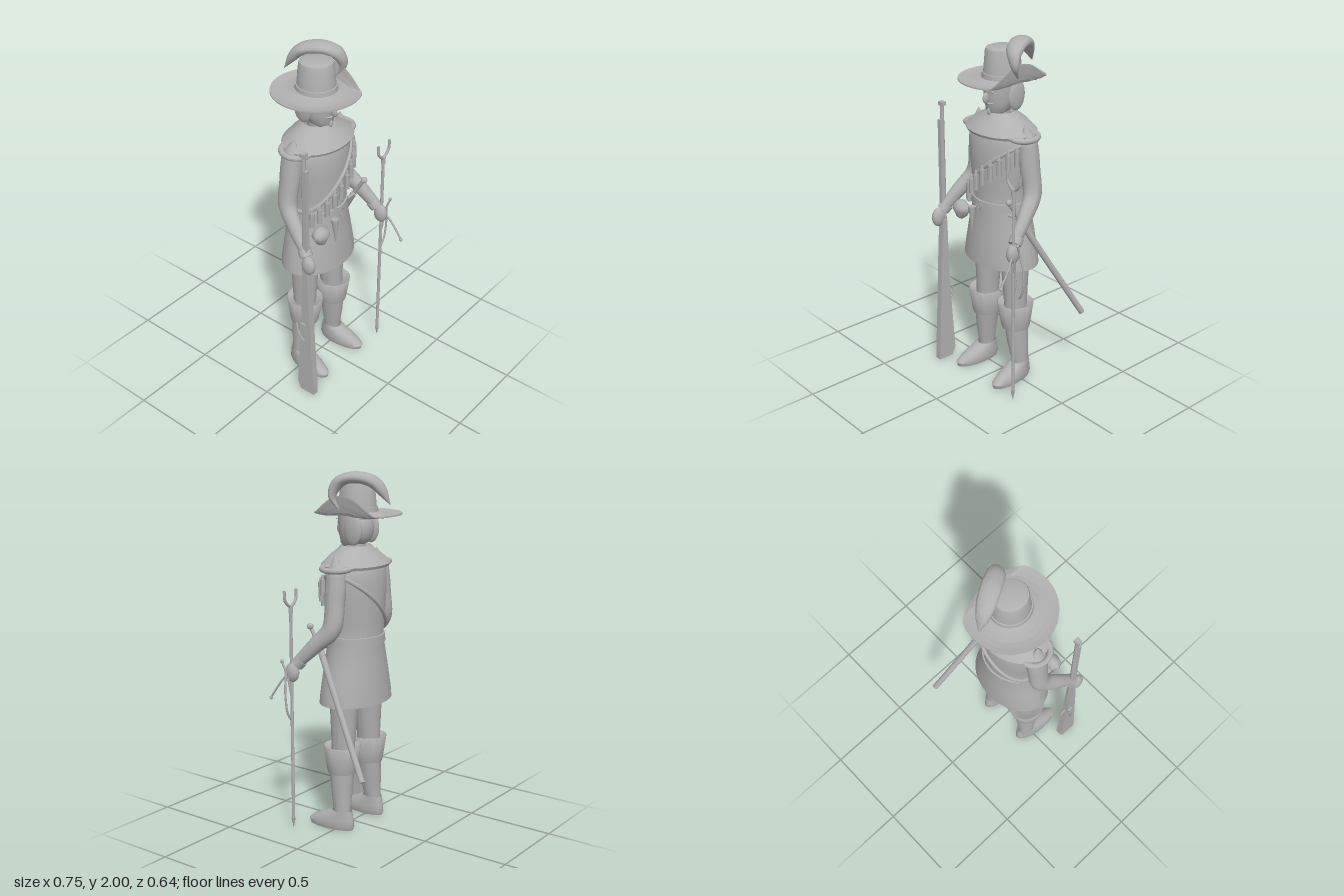
import * as THREE from 'three';
import { toCreasedNormals } from 'three/addons/utils/BufferGeometryUtils.js';

const grey = new THREE.MeshStandardMaterial({ color: 0xb0b0b0, side: THREE.DoubleSide });
grey.name = 'grey';
const CX = -0.023; // body centre line
const V = (p) => new THREE.Vector3(...p);

// Stacked elliptical rings, bottom to top: [y, rx, rz, offsetX, offsetZ]
function rings(rows, sides = 28) {
  const g = new THREE.LatheGeometry(rows.map((r) => new THREE.Vector2(r[1], r[0])), sides);
  const p = g.attributes.position;
  for (let i = 0; i < p.count; i++) {
    const [, rx, rz, ox = 0, oz = 0] = rows[i % rows.length];
    p.setX(i, p.getX(i) + ox);
    p.setZ(i, (rx ? p.getZ(i) * rz / rx : 0) + oz);
  }
  return toCreasedNormals(g, 0.8);
}

// Tube along points whose radius follows a list; squash scales the section per axis
function taper(points, radii, sides = 14, squash = [1, 1, 1], steps = 28) {
  const curve = new THREE.CatmullRomCurve3(points.map(V));
  const g = new THREE.TubeGeometry(curve, steps, 1, sides);
  const p = g.attributes.position, v = new THREE.Vector3(), s = V(squash);
  for (let i = 0; i < p.count; i++) {
    const u = Math.floor(i / (sides + 1)) / steps;
    const f = u * (radii.length - 1), k = Math.min(Math.floor(f), radii.length - 2);
    const r = THREE.MathUtils.lerp(radii[k], radii[k + 1], f - k), c = curve.getPointAt(u);
    v.fromBufferAttribute(p, i).sub(c).multiply(s).multiplyScalar(r).add(c);
    p.setXYZ(i, v.x, v.y, v.z);
  }
  g.computeVertexNormals();
  return g;
}

// Straight rod between two points
function rod(a, b, ra, rb = ra, sides = 12) {
  const A = V(a), B = V(b), d = B.clone().sub(A);
  const g = new THREE.CylinderGeometry(rb, ra, d.length(), sides);
  g.applyQuaternion(new THREE.Quaternion().setFromUnitVectors(new THREE.Vector3(0, 1, 0), d.normalize()));
  return g.translate(...A.add(B).multiplyScalar(0.5).toArray());
}
const cord = (pts, r, closed = false, n = 40) =>
  new THREE.TubeGeometry(new THREE.CatmullRomCurve3(pts.map(V), closed), n, r, 8, closed);
const ball = (c, rx, ry = rx, rz = rx) => new THREE.SphereGeometry(1, 18, 12).scale(rx, ry, rz).translate(...c);
const box = (c, w, h, d) => new THREE.BoxGeometry(w, h, d).translate(...c);

export function createModel() {
  const root = new THREE.Group();
  const add = (name, geo, parent = root) => {
    const m = new THREE.Mesh(geo, grey);
    m.name = name;
    parent.add(m);
    return m;
  };
  const group = (name, parent = root, x = 0) => {
    const g = new THREE.Group();
    g.name = name;
    g.position.x = x;
    parent.add(g);
    return g;
  };

  // Coat with flared skirt, belt and collar
  const body = group('body', root, CX);
  const torso = [[1.09, 0.168, 0.143], [1.2, 0.178, 0.147], [1.32, 0.195, 0.15], [1.42, 0.207, 0.145], [1.49, 0.205, 0.13]];
  const at = (row) => [...row, 0, -0.008];
  add('coat', rings([[0.75, 0, 0], [0.73, 0.235, 0.165], [0.73, 0.246, 0.174], [0.78, 0.24, 0.171], [0.92, 0.21, 0.16],
    ...torso, [1.54, 0.14, 0.1], [1.57, 0.07, 0.07]].map(at), 36), body);
  add('belt', rings([[1.06, 0.168, 0.145], [1.062, 0.18, 0.154], [1.108, 0.178, 0.152], [1.11, 0.165, 0.14]].map(at), 36), body);
  add('collar', rings([[1.51, 0.14, 0.11], [1.485, 0.215, 0.165], [1.5, 0.222, 0.172], [1.545, 0.165, 0.135],
    [1.58, 0.11, 0.095], [1.6, 0.085, 0.08], [1.57, 0.06, 0.06]].map(at), 32), body);
  const buckle = add('buckle', new THREE.TorusGeometry(0.025, 0.005, 4, 4), body);
  buckle.position.set(0, 1.085, 0.152);

  // Head and face
  const head = group('head', body);
  add('neck', new THREE.CylinderGeometry(0.055, 0.06, 0.12, 20).translate(0, 1.58, 0), head);
  add('face', rings([[1.585, 0, 0, 0, 0.02], [1.59, 0.045, 0.045, 0, 0.025], [1.61, 0.066, 0.07, 0, 0.01], [1.66, 0.08, 0.088],
    [1.72, 0.086, 0.094], [1.79, 0.086, 0.094]]), head);
  add('nose', ball([0, 1.682, 0.099], 0.013, 0.03, 0.021), head);
  add('beard', ball([0, 1.605, 0.075], 0.012, 0.024, 0.014), head);
  for (const s of [-1, 1]) {
    add('hair', ball([s * 0.08, 1.69, -0.045], 0.02, 0.085, 0.058), head);
    add('eye', ball([s * 0.035, 1.72, 0.084], 0.012, 0.006, 0.007), head);
    add('brow', box([s * 0.035, 1.738, 0.085], 0.032, 0.006, 0.008), head);
    add('moustache', taper([[0, 1.655, 0.09], [s * 0.02, 1.652, 0.088], [s * 0.042, 1.66, 0.075]], [0.006, 0.006, 0], 6), head);
  }
  add('backHair', ball([0, 1.69, -0.05], 0.08, 0.085, 0.055), head);

  // Hat: brim turned up on the left side
  const hat = group('hat', body);
  const brim = rings([[1.775, 0.08], [1.768, 0.12], [1.762, 0.15], [1.76, 0.18], [1.762, 0.21], [1.768, 0.24],
    [1.775, 0.24], [1.77, 0.21], [1.768, 0.18], [1.771, 0.15], [1.778, 0.12], [1.79, 0.1]].map(([y, r]) => [y, r, r]), 56);
  const bp = brim.attributes.position;
  for (let i = 0; i < bp.count; i++) {
    const e = Math.max(0, bp.getX(i) - 0.12);
    if (e) bp.setXYZ(i, 0.12 + 0.25 * e, bp.getY(i) + 7 * e * e, bp.getZ(i));
  }
  brim.computeVertexNormals();
  add('brim', brim.translate(0, 0, -0.02), hat);
  const round = ([y, r]) => [y, r, r * 1.04, 0, -0.018];
  add('crown', rings([[1.77, 0.106], [1.82, 0.1], [1.925, 0.091], [1.938, 0.086], [1.944, 0.07], [1.944, 0]].map(round)), hat);
  add('hatBand', rings([[1.78, 0.1], [1.782, 0.11], [1.808, 0.107], [1.81, 0.098]].map(round)), hat);
  add('plume', taper([[0.14, 1.8, 0], [0.155, 1.87, 0.035], [0.125, 1.945, 0.01], [0.085, 1.97, -0.06], [0.035, 1.945, -0.15],
    [-0.005, 1.825, -0.235]], [0.004, 0.026, 0.05, 0.058, 0.055, 0.035, 0], 16, [1, 0.55, 0.8], 36), hat);

  // Legs, cuffed boots, arms and shoulder wings, mirrored by sign
  for (const s of [-1, 1]) {
    const side = s > 0 ? 'left' : 'right';
    const leg = group(side + 'Leg', body);
    const lean = ([y, rx, rz, ox, oz]) => [y, rx, rz, s * ox, oz];
    add('thigh', rings([[0.42, 0.058, 0.065, 0.122, -0.008], [0.56, 0.066, 0.072, 0.118, -0.01], [0.8, 0.082, 0.086, 0.11, -0.01]].map(lean)), leg);
    add('bootCuff', rings([[0.34, 0.05, 0.05, 0.127, -0.005], [0.33, 0.077, 0.08, 0.127, -0.005], [0.35, 0.082, 0.085, 0.127, -0.005],
      [0.482, 0.101, 0.107, 0.124, -0.005], [0.488, 0.097, 0.103, 0.124, -0.005], [0.465, 0.06, 0.065, 0.124, -0.005]].map(lean)), leg);
    add('bootShaft', rings([[0.06, 0.043, 0.05, 0.148, -0.025], [0.12, 0.045, 0.05, 0.146, -0.02], [0.24, 0.058, 0.064, 0.136, -0.012],
      [0.36, 0.064, 0.072, 0.127, -0.008]].map(lean)), leg);
    const shoe = add('shoe', rings([[0, 0, 0, 0, 0.05], [0, 0.05, 0.138, 0, 0.05], [0.025, 0.058, 0.147, 0, 0.05], [0.055, 0.054, 0.128, 0, 0.035],
      [0.085, 0.05, 0.09, 0, 0.003], [0.11, 0.045, 0.06, 0, -0.02]]), leg);
    shoe.position.x = s * 0.148;
    shoe.rotation.y = s * 0.08;

    const arm = group(side + 'Arm', body);
    const path = [[0.19, 1.565, -0.01], [0.196, 1.47, -0.02], [0.213, 1.32, -0.025], [0.238, 1.17, -0.02], [0.272, 1.08, 0.06], [0.305, 0.97, 0.165]];
    add('sleeve', taper(path.map(([x, y, z]) => [s * x, y, z]), [0, 0.058, 0.06, 0.057, 0.055, 0.047, 0.04, 0.032], 18, [0.85, 1, 1]), arm);
    add('cuff', rod([s * 0.296, 0.99, 0.14], [s * 0.306, 0.96, 0.165], 0.037, 0.036, 16), arm);
    add('hand', ball([s * 0.318, 0.918, 0.188], 0.03, 0.056, 0.042), arm);
    add('shoulderWing', new THREE.TorusGeometry(0.07, 0.016, 10, 28).rotateX(Math.PI / 2).scale(1, 1, 1.15)
      .rotateZ(-s * 0.1).translate(s * 0.178, 1.493, -0.01), arm);
  }

  // Bandolier: sloping strap around the coat with hanging charges
  const bandolier = group('bandolier', body);
  const strapPoint = (t, out) => {
    const y = 1.285 + 0.175 * Math.cos(t);
    let k = torso.findIndex((r) => r[0] >= y);
    k = Math.max(1, k);
    const [a, b] = [torso[k - 1], torso[k]], f = (y - a[0]) / (b[0] - a[0]);
    const rad = (i) => THREE.MathUtils.lerp(a[i], b[i], f) + out;
    return [rad(1) * Math.cos(t), y, rad(2) * Math.sin(t) - 0.008];
  };
  add('strap', cord(Array.from({ length: 32 }, (_, i) => strapPoint(i / 16 * Math.PI, 0.003)), 0.012, true, 80), bandolier);
  for (let i = 0; i < 10; i++) {
    const [x, y, z] = strapPoint(0.45 + i * 0.235, 0.022);
    add('charge', rod([x, y - 0.1, z], [x, y - 0.012, z], 0.015, 0.015, 6), bandolier);
    add('chargeCap', rod([x, y - 0.012, z], [x, y + 0.012, z], 0.011, 0.006, 6), bandolier);
  }
  add('pouch', rings([[0.945, 0, 0], [0.965, 0.03, 0.03], [1.01, 0.057, 0.045], [1.03, 0.054, 0.042], [1.055, 0.03, 0.025], [1.065, 0, 0]]
    .map((r) => [...r, -0.162, 0.145]), 8), bandolier);
  add('primingFlask', rod([-0.055, 0.92, 0.163], [-0.055, 1.06, 0.155], 0.003, 0.022, 8), bandolier);

  // Sword in its scabbard on the left hip
  const sword = group('sword');
  add('scabbard', rod([0.33, 0.4, -0.31], [0.205, 1.05, 0.065], 0.017, 0.018), sword);
  add('grip', rod([0.205, 1.05, 0.065], [0.202, 1.15, 0.125], 0.011), sword);
  add('pommel', ball([0.202, 1.165, 0.135], 0.018), sword);
  add('crossGuard', rod([0.13, 1.05, 0.07], [0.24, 1.05, 0.07], 0.008), sword);

  // Long gun held upright on the right
  const gun = group('longGun');
  const outline = [[0.225, 0], [0.13, 0], [0.108, 0.05], [0.137, 0.48], [0.145, 0.74], [0.148, 0.9], [0.178, 0.9], [0.19, 0.7], [0.203, 0.45], [0.225, 0.05]];
  add('stock', new THREE.ExtrudeGeometry(new THREE.Shape(outline.map((p) => new THREE.Vector2(...p))),
    { depth: 0.037, bevelEnabled: false }).rotateY(-Math.PI / 2).translate(-0.312, 0, 0), gun);
  add('forestock', box([-0.331, 1.19, 0.165], 0.024, 0.62, 0.022), gun);
  add('barrel', rod([-0.331, 0.55, 0.153], [-0.331, 1.59, 0.153], 0.014, 0.011), gun);
  add('muzzle', box([-0.331, 1.59, 0.153], 0.032, 0.022, 0.03), gun);
  add('lockPlate', box([-0.355, 0.44, 0.155], 0.01, 0.13, 0.03), gun);
  add('matchArm', cord([[-0.36, 0.39, 0.165], [-0.37, 0.44, 0.135], [-0.366, 0.5, 0.12]], 0.006), gun);
  add('triggerGuard', cord([[-0.331, 0.47, 0.14], [-0.331, 0.45, 0.11], [-0.331, 0.4, 0.108], [-0.331, 0.37, 0.135]], 0.005), gun);

  // Forked rest in the left hand, with the match cord
  const rest = group('forkedRest');
  add('shaft', rod([0.3, 0.07, 0.19], [0.3, 1.285, 0.19], 0.009), rest);
  add('spike', rod([0.3, 0.01, 0.19], [0.3, 0.07, 0.19], 0.001, 0.012, 8), rest);
  add('socket', rod([0.3, 1.25, 0.19], [0.3, 1.29, 0.19], 0.013), rest);
  add('fork', cord([[0.252, 1.375, 0.19], [0.257, 1.32, 0.19], [0.3, 1.285, 0.19], [0.345, 1.32, 0.19], [0.352, 1.375, 0.19]], 0.008), rest);
  add('matchEnd', cord([[0.31, 0.91, 0.21], [0.327, 0.86, 0.245], [0.335, 0.765, 0.31]], 0.006), rest);
  add('matchLoop', cord([[0.355, 0.985, 0.21], [0.35, 0.93, 0.19], [0.368, 0.83, 0.18], [0.355, 0.7, 0.175], [0.325, 0.66, 0.175],
    [0.308, 0.73, 0.18], [0.32, 0.9, 0.2]], 0.006), rest);
  for (const c of [[0.355, 0.99, 0.21], [0.335, 0.762, 0.309]]) add('matchTip', ball(c, 0.01), rest);
  return root;
}
